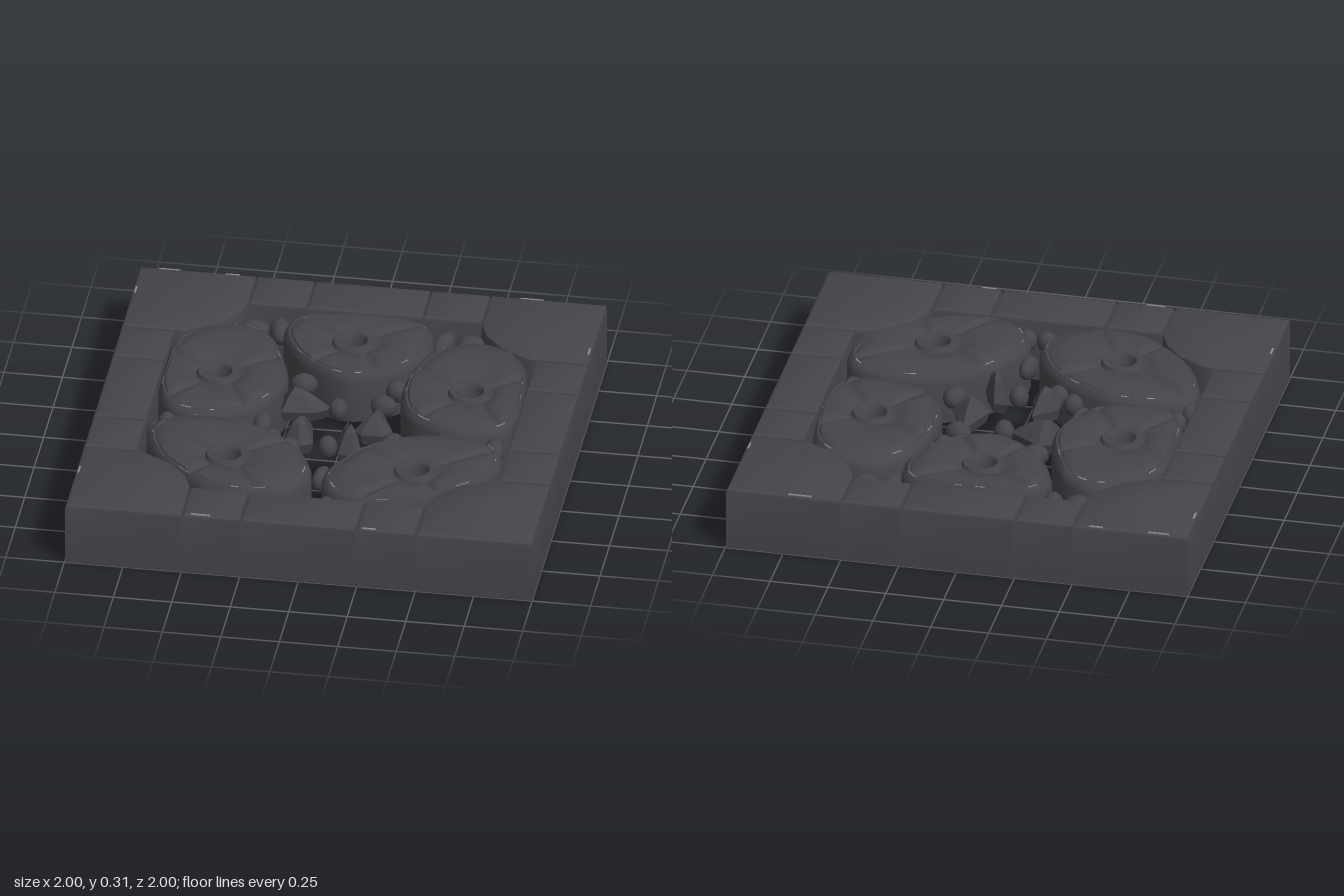
import * as THREE from 'three';
import { toCreasedNormals } from 'three/addons/utils/BufferGeometryUtils.js';

const stoneMat = new THREE.MeshStandardMaterial({ color: 0x454449, side: THREE.DoubleSide });
stoneMat.name = 'darkStone';
const wornMat = new THREE.MeshStandardMaterial({ color: 0x8a8a8a, side: THREE.DoubleSide });
wornMat.name = 'wornEdge';

// Skin a list of rings (each a list of [x, y, z]); optionally close the last one with a fan
function loft(rings, cap, crease = 0.6) {
  const n = rings[0].length, pos = rings.flat(2), idx = [];
  for (let i = 0; i < rings.length - 1; i++)
    for (let j = 0; j < n; j++) {
      const a = i * n + j, b = i * n + (j + 1) % n;
      idx.push(a, a + n, b, b, a + n, b + n);
    }
  if (cap) {
    const last = rings[rings.length - 1], base = (rings.length - 1) * n;
    for (let k = 0; k < 3; k++) pos.push(last.reduce((s, p) => s + p[k], 0) / n);
    for (let j = 0; j < n; j++) idx.push(base + j, rings.length * n, base + (j + 1) % n);
  }
  const g = new THREE.BufferGeometry();
  g.setAttribute('position', new THREE.Float32BufferAttribute(pos, 3));
  g.setIndex(idx);
  return toCreasedNormals(g, crease);
}

// Hollow block with rounded top edges over a convex outline
function blockGeometry(pts) {
  const n = pts.length;
  const inset = (d, y) => pts.map((p, i) => {
    const a = pts[(i + n - 1) % n], b = pts[(i + 1) % n];
    const e = new THREE.Vector2(p[0] - a[0], p[1] - a[1]).normalize();
    const f = new THREE.Vector2(b[0] - p[0], b[1] - p[1]).normalize();
    const k = d / (1 + e.dot(f));
    return [p[0] - (e.y + f.y) * k, y, p[1] + (e.x + f.x) * k];
  });
  return loft([inset(0.002, 0), inset(0.002, 0.262), inset(0.006, 0.274), inset(0.018, 0.281)], true);
}

// Lobed stone with a round hole, a raised collar and radial grooves
const grooves = [-145, -35, 57, 127].map(THREE.MathUtils.degToRad);
function stoneParts([hx, hz], outline) {
  const curve = new THREE.CatmullRomCurve3(outline.map(([x, z]) => new THREE.Vector3(x, 0, z)), true);
  const pts = curve.getSpacedPoints(120).slice(0, 120);
  const ring = (t, y, r = 0.1, cut = 0) => pts.map(p => {
    const ang = Math.atan2(p.z - hz, p.x - hx);
    const x0 = hx + Math.cos(ang) * r, z0 = hz + Math.sin(ang) * r;
    const x = x0 + (p.x - x0) * t, z = z0 + (p.z - z0) * t;
    const rad = Math.hypot(x - hx, z - hz);
    let dip = 0;
    for (const g of grooves) {
      const d = Math.atan2(Math.sin(ang - g), Math.cos(ang - g)) * rad / 0.017;
      dip += cut * Math.exp(-d * d);
    }
    return [x, y - dip, z];
  });
  const rings = [
    ring(1, 0.05), ring(1, 0.235), ring(0.96, 0.262), ring(0.89, 0.277), ring(0.85, 0.276, 0.1, 0.006),
    ring(0.81, 0.286, 0.1, 0.015), ring(0.6, 0.29, 0.1, 0.018), ring(0.35, 0.289, 0.1, 0.018),
    ring(0.1, 0.284, 0.1, 0.015), ring(0, 0.27),
    ring(0, 0.27, 0.092), ring(0, 0.286, 0.083), ring(0, 0.286, 0.062), ring(0, 0.275, 0.052), ring(0, 0.17, 0.052),
  ];
  // Broken bright line along the shoulder
  const a = ring(0.9, 0.279), b = ring(0.885, 0.281), chips = [];
  for (let j = 0; j < 119; j++) {
    if (Math.sin(j * 0.31 + hx * 9) + Math.sin(j * 0.83 + hz * 7) < 1.0) continue;
    chips.push(...a[j], ...b[j], ...a[j + 1], ...a[j + 1], ...b[j], ...b[j + 1]);
  }
  const chipGeo = new THREE.BufferGeometry();
  chipGeo.setAttribute('position', new THREE.Float32BufferAttribute(chips, 3));
  chipGeo.computeVertexNormals();
  return [loft(rings, false, 0.8), chipGeo];
}

const stones = {
  backStone: [[-0.01, -0.53], [[-.32, -.61], [-.26, -.72], [-.15, -.75], [0, -.76], [.22, -.75], [.30, -.69],
    [.32, -.58], [.27, -.42], [.17, -.31], [0, -.25], [-.15, -.32], [-.26, -.44]]],
  rightStone: [[-.535, -.19], [[-.50, -.63], [-.37, -.56], [-.29, -.40], [-.24, -.21], [-.29, -.01], [-.39, .10],
    [-.53, .15], [-.69, .11], [-.76, -.02], [-.77, -.21], [-.76, -.42], [-.66, -.58]]],
  leftStone: [[.54, -.195], [[.49, -.63], [.62, -.60], [.73, -.48], [.765, -.29], [.77, -.05], [.73, .07],
    [.57, .14], [.41, .09], [.30, 0], [.25, -.18], [.28, -.40], [.35, -.55]]],
  frontRightStone: [[-.39, .475], [[-.76, .30], [-.72, .20], [-.58, .15], [-.40, .16], [-.18, .27], [-.05, .43],
    [-.02, .56], [-.09, .70], [-.26, .75], [-.45, .72], [-.58, .62], [-.69, .50]]],
  frontLeftStone: [[.415, .475], [[.03, .54], [.09, .40], [.19, .27], [.38, .17], [.59, .15], [.73, .22],
    [.765, .35], [.70, .51], [.57, .62], [.43, .72], [.22, .76], [.07, .68]]],
};

// Pebbles: x, z, half width, half depth
const pebbles = [
  [-.46, -.68, .068, .053], [-.35, -.69, .045, .08], [.35, -.69, .043, .08], [.465, -.69, .063, .058],
  [-.18, -.275, .058, .046], [.215, -.28, .048, .042], [-.005, -.095, .043, .048], [.18, -.15, .058, .042],
  [-.30, .08, .042, .058], [-.70, .13, .042, .05], [-.74, .215, .04, .042], [-.16, .255, .048, .042],
  [-.24, .195, .042, .042], [.265, .155, .048, .058], [.70, .135, .042, .065], [.66, .23, .048, .042],
  [.015, .475, .036, .065], [-.10, .71, .044, .042], [-.01, .715, .044, .038], [.075, .71, .044, .042],
  [0, .215, .042, .048],
];

// Shards: footprint corners and the peak [x, y, z]
const shards = [
  [[[-.25, -.17], [-.17, -.19], [-.03, -.095], [-.10, -.05], [-.24, -.03]], [-.19, .285, -.11]],
  [[[.17, -.13], [.25, .05], [.22, .10], [.12, .10], [.09, .06]], [.17, .275, .04]],
  [[[-.19, .14], [-.09, .06], [-.065, .20], [-.12, .23], [-.19, .20]], [-.13, .30, .15]],
  [[[.03, .13], [.09, .13], [.15, .24], [.12, .28], [.05, .27]], [.10, .315, .21]],
];

export function createModel() {
  const model = new THREE.Group();
  const add = (name, geo, mat = stoneMat) => {
    const m = new THREE.Mesh(geo, mat);
    m.name = name;
    model.add(m);
    return m;
  };
  const rect = (x0, x1, z0, z1) => [[x0, z0], [x1, z0], [x1, z1], [x0, z1]];

  // Border blocks on all four sides
  const cuts = [-0.5, -0.25, 0.245, 0.5];
  for (let i = 0; i < 3; i++) {
    const a = cuts[i], b = cuts[i + 1];
    add('backBlock', blockGeometry(rect(a, b, -1, -0.765)));
    add('frontBlock', blockGeometry(rect(a, b, 0.755, 1)));
    add('rightBlock', blockGeometry(rect(-1, -0.77, a, b)));
    add('leftBlock', blockGeometry(rect(0.77, 1, a, b)));
  }

  // Corner blocks with a cut inner corner
  const corner = [[1, 1], [.5, 1], [.5, .745], [.535, .66], [.61, .575], [.73, .505], [.77, .5], [1, .5]];
  for (const sx of [1, -1]) for (const sz of [1, -1]) {
    const pts = corner.map(([x, z]) => [x * sx, z * sz]);
    add('cornerBlock', blockGeometry(sx * sz > 0 ? pts : pts.reverse()));
  }

  // Lobed stones
  for (const [name, [hole, outline]] of Object.entries(stones)) {
    const [body, chips] = stoneParts(hole, outline);
    add(name, body);
    add(name + 'WornEdge', chips, wornMat);
  }

  // Pebbles in the gaps
  pebbles.forEach(([x, z, w, d], i) => {
    const p = add('pebble', new THREE.SphereGeometry(1, 12, 8));
    p.scale.set(w, 0.05, d);
    p.position.set(x, 0.2, z);
    p.rotation.y = Math.sin(i * 2.3) * 0.3;
  });

  // Sharp rubble in the middle
  for (const [foot, peak] of shards) {
    const at = (s, y) => foot.map(([x, z]) => [peak[0] + (x - peak[0]) * s, y, peak[2] + (z - peak[2]) * s]);
    add('shard', loft([at(0.05, 0.12), at(0.8, 0.15), at(1, 0.2), at(0.45, peak[1] - 0.025), at(0.05, peak[1])], true, 0.3));
  }

  // Worn chips along the outer rim: x, z, length along x, length along z
  for (const [x, z, w, d] of [[-.87, -.985, .09, .008], [-.6, -.985, .06, .008], [.68, -.985, .1, .008],
    [-.985, -.8, .008, .05], [-.985, .7, .008, .05], [-.42, .985, .08, .008], [.3, .985, .06, .008], [.985, -.6, .008, .05]])
    add('rimChip', new THREE.BoxGeometry(w, 0.004, d), wornMat).position.set(x, 0.28, z);

  return model;
}
